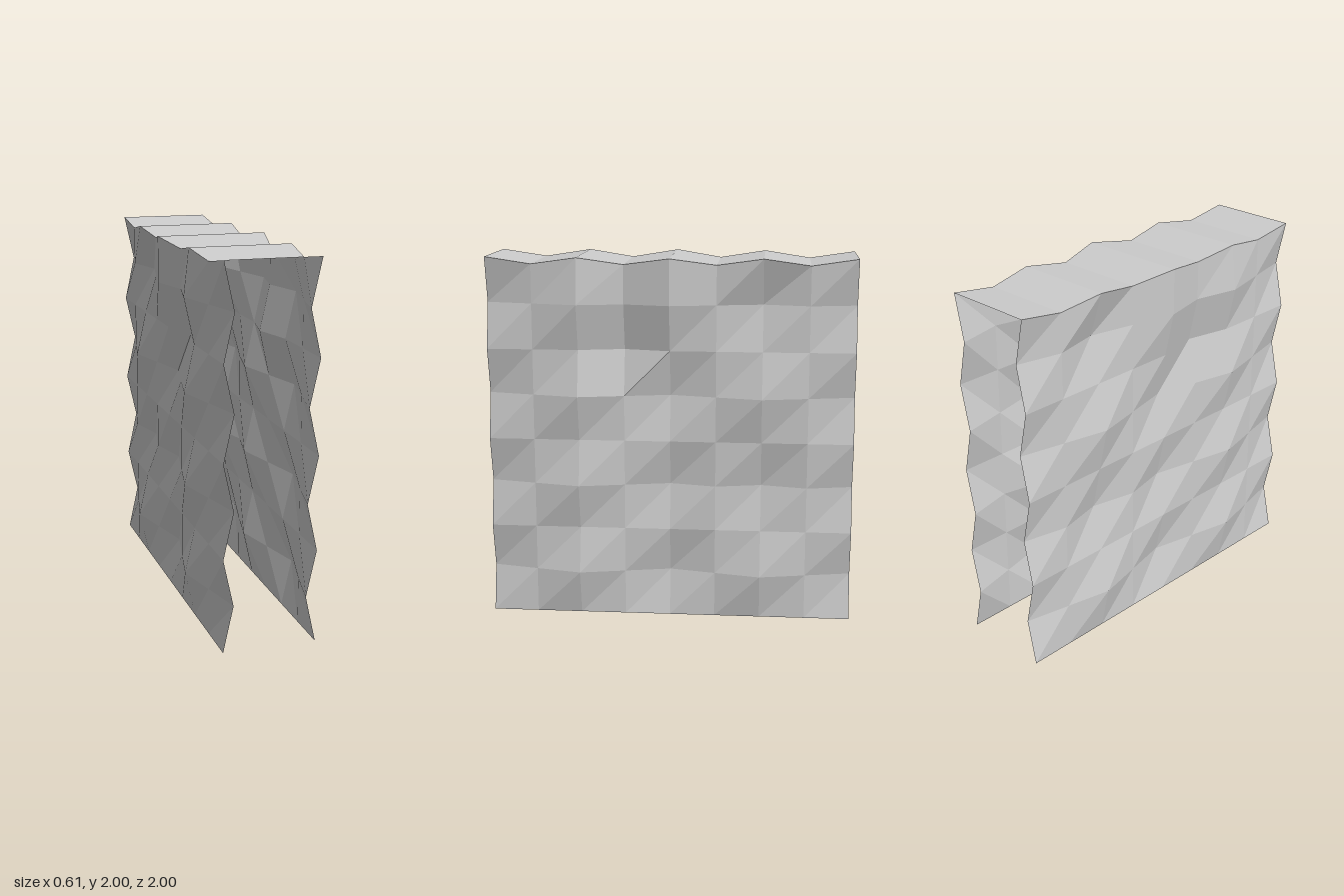
import * as THREE from 'three';

const N = 8, STEP = 0.25, HALF = 0.25, FOLD = 0.055;

// Fold direction (1 = outward, -1 = inward) on every second column, front to back,
// for the creased rows at y = 0.25, 0.75, 1.25 and 1.75
const FOLDS = [
  [-1, 1, -1, 1, -1],
  [-1, 1, -1, -1, -1],
  [-1, 1, -1, 1, -1],
  [-1, 1, 1, -1, -1],
];

// Outward offset of a wall vertex at row r (from the floor), column c (from the front)
function fold(r, c) {
  if (r === 6 && c === 3) return -FOLD; // single dimple
  if (c % 2) return 0;
  if (r === N) return FOLD * (1 - Math.abs(c - 4) / 4); // top edge bulges in the middle
  return r % 2 ? FOLD * FOLDS[(r - 1) / 2][c / 2] : 0;
}

// Height of the zigzag top edge at column c
const topY = (c) => (c % 2 ? 1.963 : 2);

// Grid surface from a point rule
function sheet(rows, cols, point) {
  const pos = [], idx = [], w = cols + 1;
  for (let r = 0; r <= rows; r++)
    for (let c = 0; c <= cols; c++) pos.push(...point(r, c));
  for (let r = 0; r < rows; r++)
    for (let c = 0; c < cols; c++) {
      const a = r * w + c, b = a + 1, d = a + w, e = d + 1;
      idx.push(a, b, e, a, e, d);
    }
  const g = new THREE.BufferGeometry();
  g.setAttribute('position', new THREE.Float32BufferAttribute(pos, 3));
  g.setIndex(idx);
  const flat = g.toNonIndexed();
  flat.computeVertexNormals();
  return flat;
}

export function createModel() {
  const group = new THREE.Group();
  const material = new THREE.MeshStandardMaterial({
    color: 0xcccccc, flatShading: true, side: THREE.DoubleSide,
  });
  const add = (name, geometry) => {
    const mesh = new THREE.Mesh(geometry, material);
    mesh.name = name;
    group.add(mesh);
  };

  // Two mirrored folded walls; winding is kept outward on both
  for (const side of [1, -1]) {
    add(side > 0 ? 'leftWall' : 'rightWall', sheet(N, N, (r, k) => {
      const c = side > 0 ? k : N - k;
      return [side * (HALF + fold(r, c)), r === N ? topY(c) : r * STEP, 1 - c * STEP];
    }));
  }

  // Pleated roof joining the top edges of the walls
  add('roof', sheet(N, 1, (c, s) => [
    (s ? 1 : -1) * (HALF + fold(N, c)), topY(c), 1 - c * STEP,
  ]));

  return group;
}
